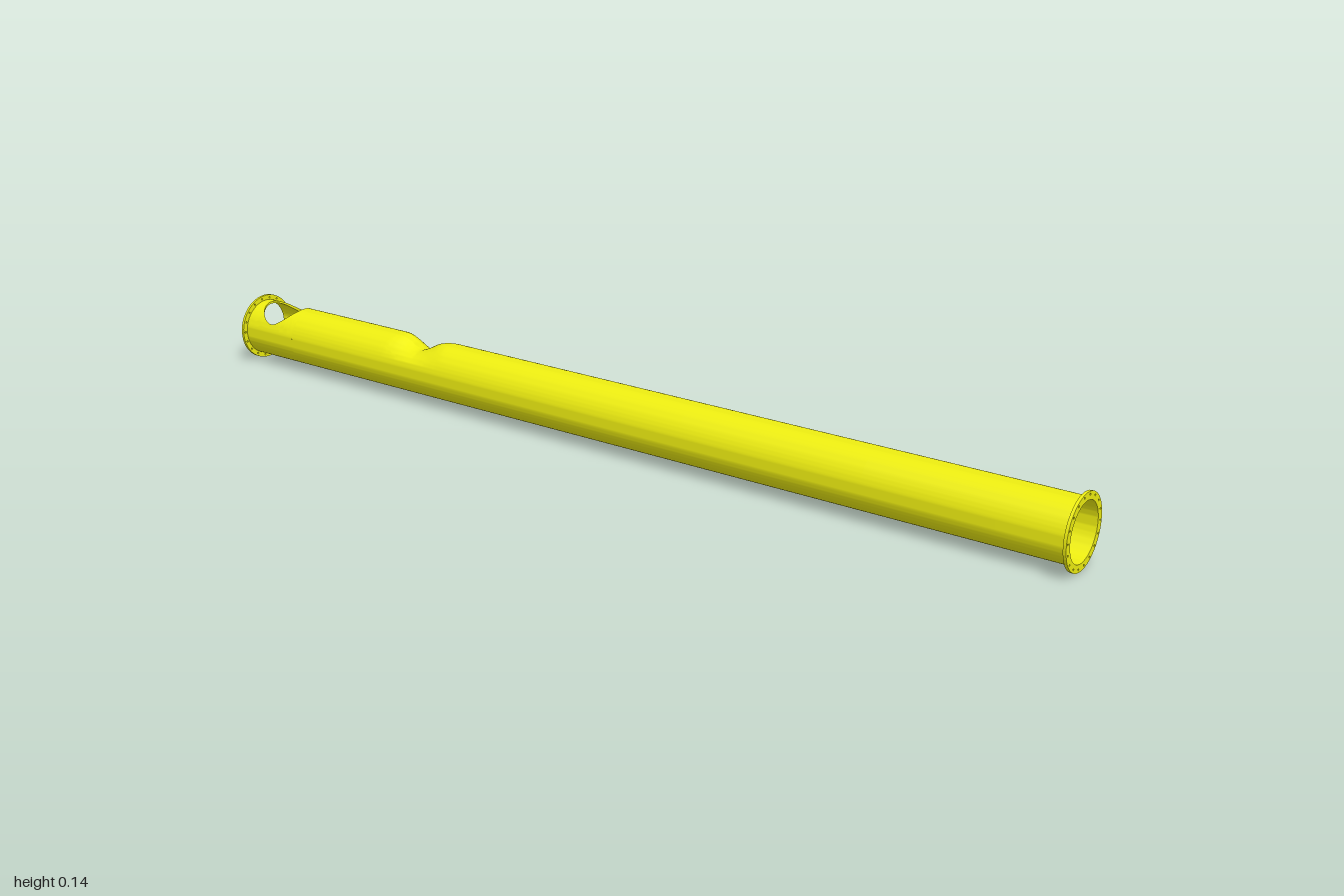
import * as THREE from 'three';
import { mergeGeometries, toCreasedNormals } from 'three/addons/utils/BufferGeometryUtils.js';

const R = 0.0615, RI = 0.057, FLANGE_R = 0.0725, FLANGE_T = 0.006;
const HOLE = { x: -0.003, z: -0.922, r: 0.051 };
const WIN = { a: 1.3, z0: -1, z1: -0.85 }; // window of wall around the top hole
const TAU = Math.PI * 2;

// grid surface from fn(u, v) -> [x, y, z], u and v in 0..1
function loft(nu, nv, fn) {
  const pos = [], idx = [];
  for (let j = 0; j <= nv; j++) for (let i = 0; i <= nu; i++) pos.push(...fn(i / nu, j / nv));
  for (let j = 0; j < nv; j++) for (let i = 0; i < nu; i++) {
    const a = j * (nu + 1) + i, b = a + 1, c = a + nu + 1, d = c + 1;
    idx.push(a, c, b, b, c, d);
  }
  const g = new THREE.BufferGeometry();
  g.setAttribute('position', new THREE.Float32BufferAttribute(pos, 3));
  g.setIndex(idx);
  return g;
}

// angle is measured from straight up towards +x
const onTube = (r, a, z) => [r * Math.sin(a), r * Math.cos(a), z];

// outer radius with the pinched dent across the top
function outerRadius(a, z) {
  const around = Math.max(0, Math.cos(a - 0.4));
  const half = 0.06 + 0.04 * Math.abs(Math.sin(a));
  const t = Math.max(0, 1 - Math.abs(z + 0.5) / half);
  return R - 0.027 * around * t * t * (2 - t);
}

// bore narrows to a small throat under the dent
function boreRadius(z) {
  return z > -0.5
    ? THREE.MathUtils.mapLinear(z, -0.5, 1, 0.01, RI)
    : THREE.MathUtils.mapLinear(Math.max(z, -0.8), -0.8, -0.5, RI, 0.01);
}

const holeAngle = (r, p) => Math.asin((HOLE.x + HOLE.r * Math.sin(p)) / r);
const holePoint = (r, p) => onTube(r, holeAngle(r, p), HOLE.z + HOLE.r * Math.cos(p));

// end section of wall: the plain part plus the window pierced by the hole
function piercedWall(r, flip) {
  const dir = u => (flip ? 1 - u : u);
  const plain = loft(64, 1, (u, v) =>
    onTube(r, WIN.a + dir(u) * (TAU - 2 * WIN.a), WIN.z0 + v * (WIN.z1 - WIN.z0)));
  const midZ = (WIN.z0 + WIN.z1) / 2, halfZ = (WIN.z1 - WIN.z0) / 2;
  const pierced = loft(96, 6, (u, v) => {
    const p = dir(u) * TAU, s = Math.sin(p), c = Math.cos(p);
    const k = 1 / Math.max(Math.abs(s), Math.abs(c));
    const a = THREE.MathUtils.lerp(holeAngle(r, p), WIN.a * s * k, v);
    const z = THREE.MathUtils.lerp(HOLE.z + HOLE.r * c, midZ + halfZ * c * k, v);
    return onTube(r, a, z);
  });
  return [plain, pierced];
}

function flangeGeometry() {
  const shape = new THREE.Shape().absarc(0, 0, FLANGE_R, 0, TAU);
  shape.holes.push(new THREE.Path().absarc(0, 0, RI, 0, TAU, true));
  for (let i = 0; i < 18; i++) {
    const a = i * TAU / 18;
    shape.holes.push(new THREE.Path().absarc(0.0665 * Math.cos(a), 0.0665 * Math.sin(a), 0.002, 0, TAU, true));
  }
  return new THREE.ExtrudeGeometry(shape, { depth: FLANGE_T, bevelEnabled: false, curveSegments: 24 });
}

export function createModel() {
  const model = new THREE.Group();
  model.name = 'flangedPipe';
  const material = new THREE.MeshStandardMaterial({ color: 0xeeee11, side: THREE.DoubleSide });
  const add = (name, geometry, z = 0) => {
    const mesh = new THREE.Mesh(geometry, material);
    mesh.name = name;
    mesh.position.set(0, FLANGE_R, z);
    model.add(mesh);
  };
  const smooth = parts => toCreasedNormals(mergeGeometries(parts), 0.7);

  // outer wall, with dense rows around the dent
  const rows = [WIN.z1, -0.7];
  for (let i = 0; i <= 32; i++) rows.push(-0.62 + i * 0.0075);
  rows.push(-0.2, 0.2, 0.6, 1);
  const body = loft(96, rows.length - 1, (u, v) => {
    const a = u * TAU, z = rows[Math.round(v * (rows.length - 1))];
    return onTube(outerRadius(a, z), a, z);
  });
  add('outerWall', smooth([body, ...piercedWall(R, false)]));

  // bore: long cone from the front, throat, then a flare to the back
  const boreRows = [WIN.z1, -0.8, -0.5, 1];
  const bore = loft(96, 3, (u, v) => {
    const z = boreRows[Math.round(v * 3)];
    return onTube(boreRadius(z), -u * TAU, z);
  });
  add('boreWall', smooth([bore, ...piercedWall(RI, true)]));

  // edge of the top hole, joining both walls
  add('holeRim', smooth([loft(96, 1, (u, v) => holePoint(v ? R : RI, u * TAU))]));

  // end flanges with bolt holes
  const flange = flangeGeometry();
  add('frontFlange', flange, 1 - FLANGE_T);
  add('backFlange', flange, -1);
  return model;
}
